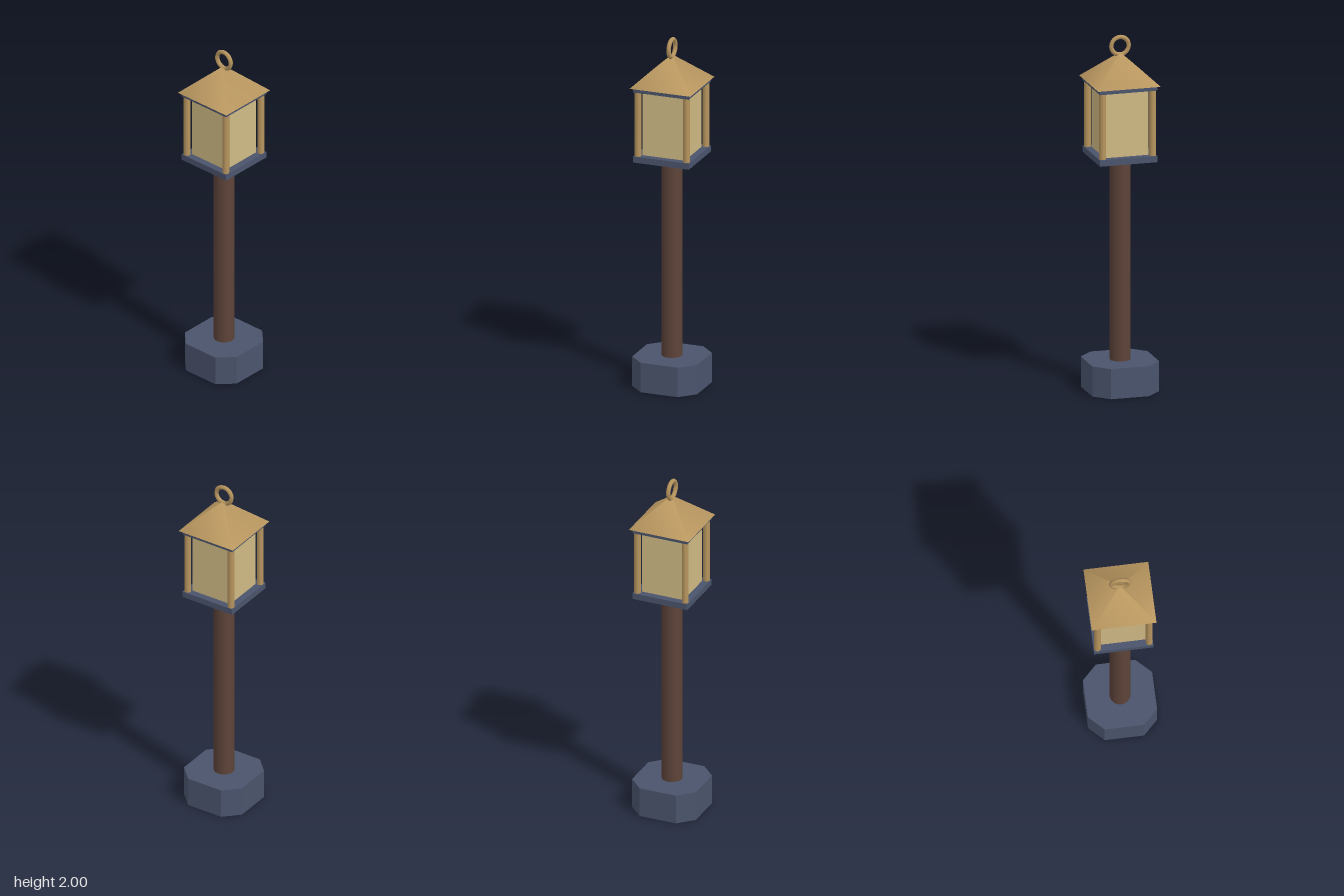
import * as THREE from 'three';

export function createModel() {
  const group = new THREE.Group();
  const iron = new THREE.MeshStandardMaterial({ color: 0x4a546c });
  const wood = new THREE.MeshStandardMaterial({ color: 0x5d4339 });
  const brass = new THREE.MeshStandardMaterial({ color: 0xb8965f });
  const glass = new THREE.MeshStandardMaterial({ color: 0xd0bb85 });
  iron.name = 'iron';
  wood.name = 'wood';
  brass.name = 'brass';
  glass.name = 'glass';

  function add(name, geometry, material, x, y, z) {
    const mesh = new THREE.Mesh(geometry, material);
    mesh.name = name;
    mesh.position.set(x, y, z);
    group.add(mesh);
    return mesh;
  }
  // Square slab between two heights
  function slab(name, half, y0, y1, material) {
    add(name, new THREE.BoxGeometry(half * 2, y1 - y0, half * 2), material, 0, (y0 + y1) / 2, 0);
  }

  // Octagonal foot: a square with chamfered corners
  const h = 0.19, c = 0.108;
  const outline = new THREE.Shape(
    [[h, -c], [h, c], [c, h], [-c, h], [-h, c], [-h, -c], [-c, -h], [c, -h]]
      .map(([x, y]) => new THREE.Vector2(x, y)));
  const foot = new THREE.ExtrudeGeometry(outline, { depth: 0.17, bevelEnabled: false });
  foot.rotateX(-Math.PI / 2);
  add('foot', foot, iron, 0, 0, 0);

  // Round wooden post
  add('post', new THREE.CylinderGeometry(0.057, 0.057, 1.14, 20), wood, 0, 0.74, 0);

  // Lantern body between two plates
  slab('lanternFloor', 0.163, 1.31, 1.345, iron);
  slab('lanternGlass', 0.124, 1.345, 1.714, glass);
  slab('lanternCeiling', 0.163, 1.714, 1.738, iron);

  // Corner rods
  const rod = new THREE.CylinderGeometry(0.019, 0.019, 0.369, 10);
  for (const x of [-1, 1]) {
    for (const z of [-1, 1]) add('cornerRod', rod, brass, x * 0.142, 1.5295, z * 0.142);
  }

  // Four-sided roof with softly shaded faces
  const roof = new THREE.ConeGeometry(0.178 * Math.SQRT2, 0.165, 4);
  roof.rotateY(Math.PI / 4);
  add('roof', roof, brass, 0, 1.738 + 0.0825, 0);

  // Hanging ring
  add('ring', new THREE.TorusGeometry(0.0495, 0.0125, 6, 24), brass, 0, 1.938, 0);

  return group;
}
